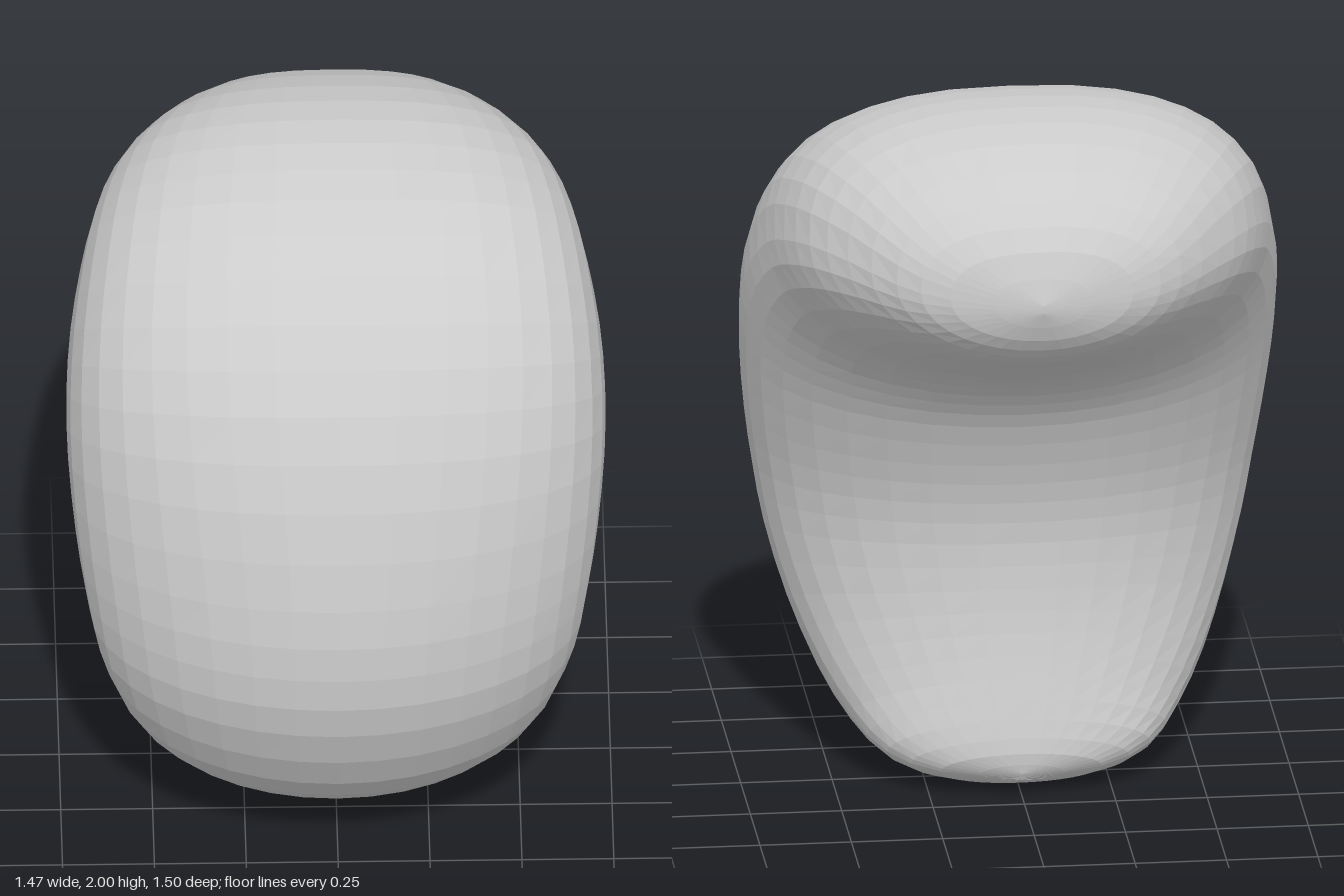
import * as THREE from 'three';

// Stations along the bend: [outer z, outer y, inner z, inner y, half width]
const STATIONS = [
  [-0.195, 0.05, -0.205, 0.07, 0],
  [-0.12, 0.015, -0.21, 0.13, 0.22],
  [0, 0, -0.19, 0.22, 0.36],
  [0.2, 0.03, -0.16, 0.33, 0.45],
  [0.4, 0.14, -0.13, 0.45, 0.53],
  [0.6, 0.34, -0.11, 0.57, 0.6],
  [0.72, 0.59, -0.1, 0.7, 0.655],
  [0.75, 0.8, -0.11, 0.82, 0.685],
  [0.73, 1.02, -0.14, 0.94, 0.71],
  [0.66, 1.3, -0.19, 1.07, 0.73],
  [0.55, 1.55, -0.24, 1.15, 0.733],
  [0.4, 1.75, -0.3, 1.22, 0.72],
  [0.2, 1.91, -0.37, 1.275, 0.69],
  [0, 1.98, -0.44, 1.315, 0.655],
  [-0.2, 2, -0.52, 1.36, 0.6],
  [-0.4, 1.965, -0.6, 1.4, 0.51],
  [-0.6, 1.87, -0.67, 1.445, 0.39],
  [-0.7, 1.76, -0.72, 1.51, 0.25],
  [-0.75, 1.62, -0.75, 1.6, 0],
];
const ALONG = 36, AROUND = 36;

const power = (v, e) => Math.sign(v) * Math.abs(v) ** e;

function bentPillow() {
  // The outer curve carries the half width in its x
  const outer = new THREE.CatmullRomCurve3(
    STATIONS.map(([z, y, , , w]) => new THREE.Vector3(w, y, z)), false, 'catmullrom', 0.5);
  const inner = new THREE.CatmullRomCurve3(
    STATIONS.map(([, , z, y]) => new THREE.Vector3(0, y, z)), false, 'catmullrom', 0.5);
  const positions = [], indices = [];

  for (let i = 0; i <= ALONG; i++) {
    const t = i / ALONG;
    const o = outer.getPoint(t), n = inner.getPoint(t);
    // Sections are ellipses, squarer on the outside towards the top
    const squareness = 2 + 0.5 * THREE.MathUtils.smoothstep(t, 0.4, 0.65);
    for (let j = 0; j < AROUND; j++) {
      const a = (j / AROUND) * Math.PI * 2;
      const e = j < AROUND / 2 ? 2 / squareness : 1;
      const k = power(Math.sin(a), e) / 2;
      positions.push(
        o.x * power(Math.cos(a), e),
        (o.y + n.y) / 2 + (o.y - n.y) * k,
        (o.z + n.z) / 2 + (o.z - n.z) * k);
    }
  }
  for (let i = 0; i < ALONG; i++) {
    for (let j = 0; j < AROUND; j++) {
      const a = i * AROUND + j, b = i * AROUND + (j + 1) % AROUND;
      const c = a + AROUND, d = b + AROUND;
      indices.push(a, c, b, b, c, d);
    }
  }
  const geometry = new THREE.BufferGeometry();
  geometry.setAttribute('position', new THREE.Float32BufferAttribute(positions, 3));
  geometry.setIndex(indices);
  const flat = geometry.toNonIndexed();
  flat.computeVertexNormals();
  return flat;
}

export function createModel() {
  const group = new THREE.Group();
  group.name = 'bentPillow';
  const body = new THREE.Mesh(bentPillow(),
    new THREE.MeshStandardMaterial({ color: 0xcccccc, flatShading: true }));
  body.name = 'body';
  group.add(body);
  return group;
}
